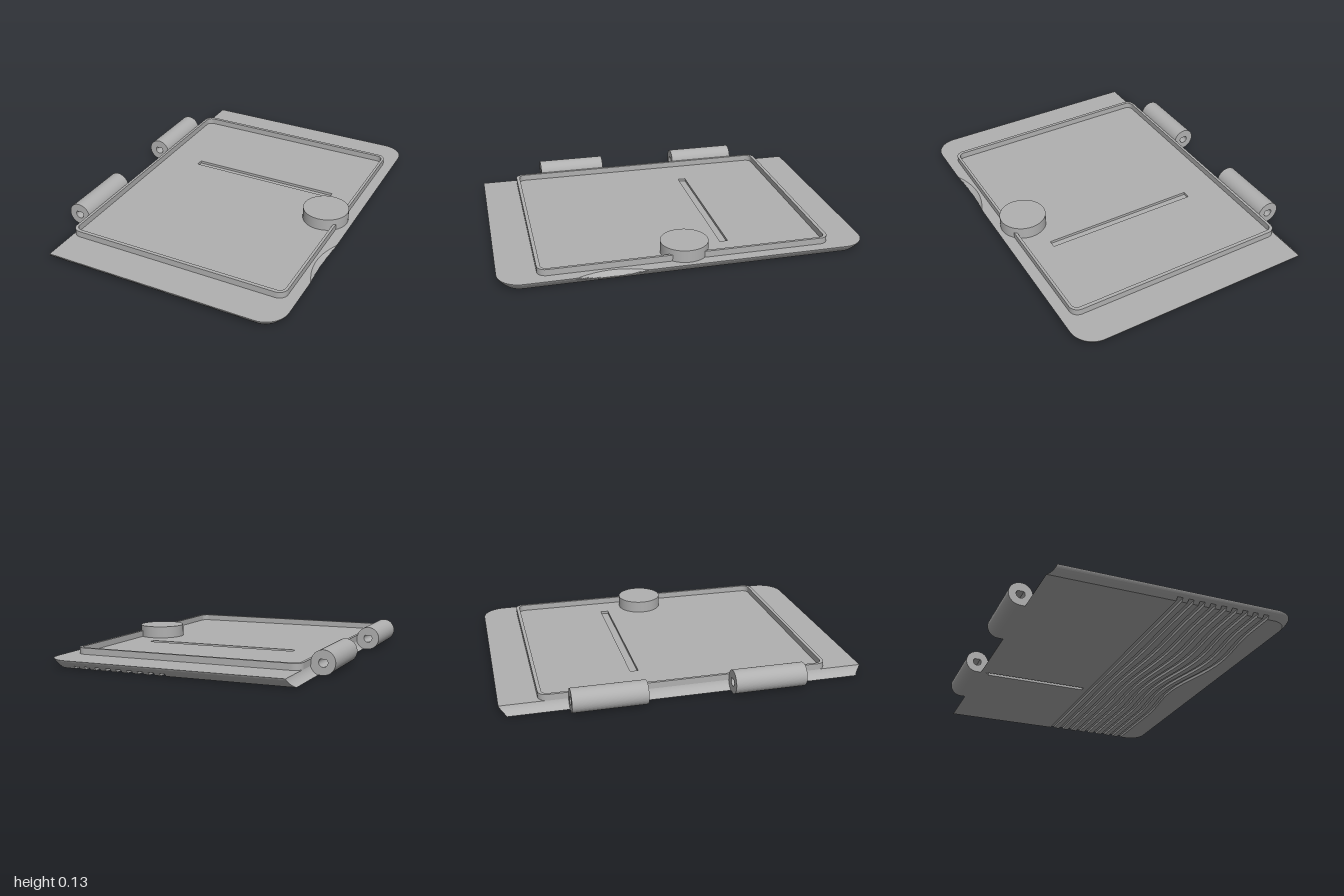
import * as THREE from 'three';

const V = (x, y) => new THREE.Vector2(x, y);
const H = 0.045; // plate thickness

// Stack of outlines (x, -z) at given heights, closed with caps; the hole has straight walls
function loft(heights, outline, hole) {
  const pos = [];
  const put = (p, y) => pos.push(p.x, y, -p.y);
  const wall = (lo, hi, y0, y1) => lo.forEach((a, i) => {
    const j = (i + 1) % lo.length;
    put(a, y0); put(lo[j], y0); put(hi[j], y1);
    put(a, y0); put(hi[j], y1); put(hi[i], y1);
  });
  const holes = hole ? [hole] : [];
  const rows = heights.map(outline);
  const cap = (row, y, up) => {
    const all = [...row, ...(hole || [])];
    for (const f of THREE.ShapeUtils.triangulateShape([...row], holes.map((h) => [...h])))
      (up ? f : [f[0], f[2], f[1]]).forEach((k) => put(all[k], y));
  };
  for (let k = 0; k < rows.length - 1; k++) {
    wall(rows[k], rows[k + 1], heights[k], heights[k + 1]);
    if (hole) wall(hole, hole, heights[k], heights[k + 1]);
  }
  cap(rows[0], heights[0], false);
  cap(rows[rows.length - 1], heights[heights.length - 1], true);
  const g = new THREE.BufferGeometry();
  g.setAttribute('position', new THREE.Float32BufferAttribute(pos, 3));
  g.computeVertexNormals();
  return g;
}

// Edge rules of the plate
const inset = (y) => 0.038 * Math.pow(Math.max(0, 1 - y / H), 1.3);
const hingeEdge = (y) => -0.675 + Math.sqrt(0.07 ** 2 - (0.065 - y) ** 2);

// Rounded free edge, with the finger scoop cut into it
function freeEdge(y) {
  const d = inset(y), pts = [], N = 12;
  for (let i = 0; i <= N; i++) {
    const a = -Math.PI / 2 + (i / N) * Math.PI / 2;
    pts.push(V(0.605 + (0.13 - d) * Math.cos(a), -0.87 + (0.13 - d) * Math.sin(a)));
  }
  for (let i = 0; i <= 20; i++) {
    const t = -0.2 + i * 0.02;
    pts.push(V(Math.min(0.735 - d, 0.69 + (H - y) + 1.31 * t * t), -0.415 + t));
  }
  for (let i = 0; i <= N; i++) {
    const a = (i / N) * Math.PI / 2;
    pts.push(V(0.605 + (0.13 - d) * Math.cos(a), 0.87 + (0.13 - d) * Math.sin(a)));
  }
  return pts;
}

function plateOutline(y) {
  const w = 1 - inset(y);
  return [V(hingeEdge(y), -w), ...freeEdge(y), V(hingeEdge(y), w)];
}

// Side of a wavy groove; later grooves wave more
function grooveSide(i, side, y) {
  const w = 1 - inset(y), pts = [], N = 48;
  for (let k = 0; k <= N; k++) {
    const s = -w + (2 * w * k) / N;
    const t = THREE.MathUtils.clamp((-s + 0.5) / 1.3, 0, 1);
    const wave = -0.05 * (i / 8) * Math.sin(t * Math.PI * 2) * Math.sin(t * Math.PI);
    pts.push(V(0.05 + 0.0625 * i + side * 0.015 + wave, s));
  }
  return pts;
}

// Clockwise rectangular hole
const slot = (x0, x1, w0, w1) => [V(x0, w0), V(x0, w1), V(x1, w1), V(x1, w0)];

function roundRect(target, x0, x1, w, r) {
  target.moveTo(x0 + r, -w);
  target.lineTo(x1 - r, -w);
  target.absarc(x1 - r, -w + r, r, -Math.PI / 2, 0, false);
  target.absarc(x1 - r, w - r, r, 0, Math.PI / 2, false);
  target.absarc(x0 + r, w - r, r, Math.PI / 2, Math.PI, false);
  target.absarc(x0 + r, -w + r, r, Math.PI, Math.PI * 1.5, false);
  return target;
}

export function createModel() {
  const group = new THREE.Group();
  const grey = new THREE.MeshStandardMaterial({ color: 0xb0b0b0 });
  grey.name = 'grey';
  const add = (name, geometry) => {
    const m = new THREE.Mesh(geometry, grey);
    m.name = name;
    group.add(m);
    return m;
  };

  // Underside: strips with wavy grip grooves left open between them
  const low = [0, 0.005, 0.01, 0.016], count = 9;
  add('underside', loft(low, (y) => {
    const w = 1 - inset(y);
    return [V(hingeEdge(y), -w), ...grooveSide(0, -1, y), V(hingeEdge(y), w)];
  }, slot(-0.62, 0, 0.235, 0.265)));
  for (let i = 0; i < count - 1; i++)
    add('gripRidge', loft(low, (y) => [...grooveSide(i + 1, -1, y), ...grooveSide(i, 1, y).reverse()]
      ));
  add('undersideEdge', loft(low, (y) => [...freeEdge(y), ...grooveSide(count - 1, 1, y).reverse()]));

  // Plate core and upper layer with the long slot
  add('plateCore', loft([0.016, 0.02, 0.025, 0.03], plateOutline));
  add('plateTop', loft([0.03, 0.035, 0.04, H], plateOutline, slot(-0.38, 0.515, 0.22, 0.265)));

  // Raised rim
  const rim = roundRect(new THREE.Shape(), -0.61, 0.673, 0.795, 0.05);
  rim.holes.push(roundRect(new THREE.Path(), -0.595, 0.658, 0.775, 0.035));
  const rimMesh = add('rim', new THREE.ExtrudeGeometry(rim, { depth: 0.035, bevelEnabled: false, curveSegments: 8 }));
  rimMesh.rotation.x = -Math.PI / 2;
  rimMesh.position.y = H;

  // Round knob
  add('knob', new THREE.CylinderGeometry(0.13, 0.13, 0.068, 64)).position.set(0.577, 0.079, 0);

  // Hinge barrels with teardrop bores
  const cx = -0.675, cy = 0.065, r = 0.065;
  const barrel = new THREE.Shape();
  barrel.moveTo(-0.6, 0);
  barrel.lineTo(cx, 0);
  barrel.absarc(cx, cy, r, -Math.PI / 2, 0.15, true);
  barrel.lineTo(-0.6, 0.075);
  const bore = new THREE.Path();
  bore.moveTo(cx, cy + 0.034);
  bore.absarc(cx, cy, 0.024, Math.PI * 0.75, Math.PI * 2.25, false);
  barrel.holes.push(bore);
  const barrelGeo = new THREE.ExtrudeGeometry(barrel, { depth: 0.4, bevelEnabled: false, curveSegments: 32 });
  for (const z of [-0.64, 0.23]) add('hingeBarrel', barrelGeo).position.z = z;

  return group;
}
